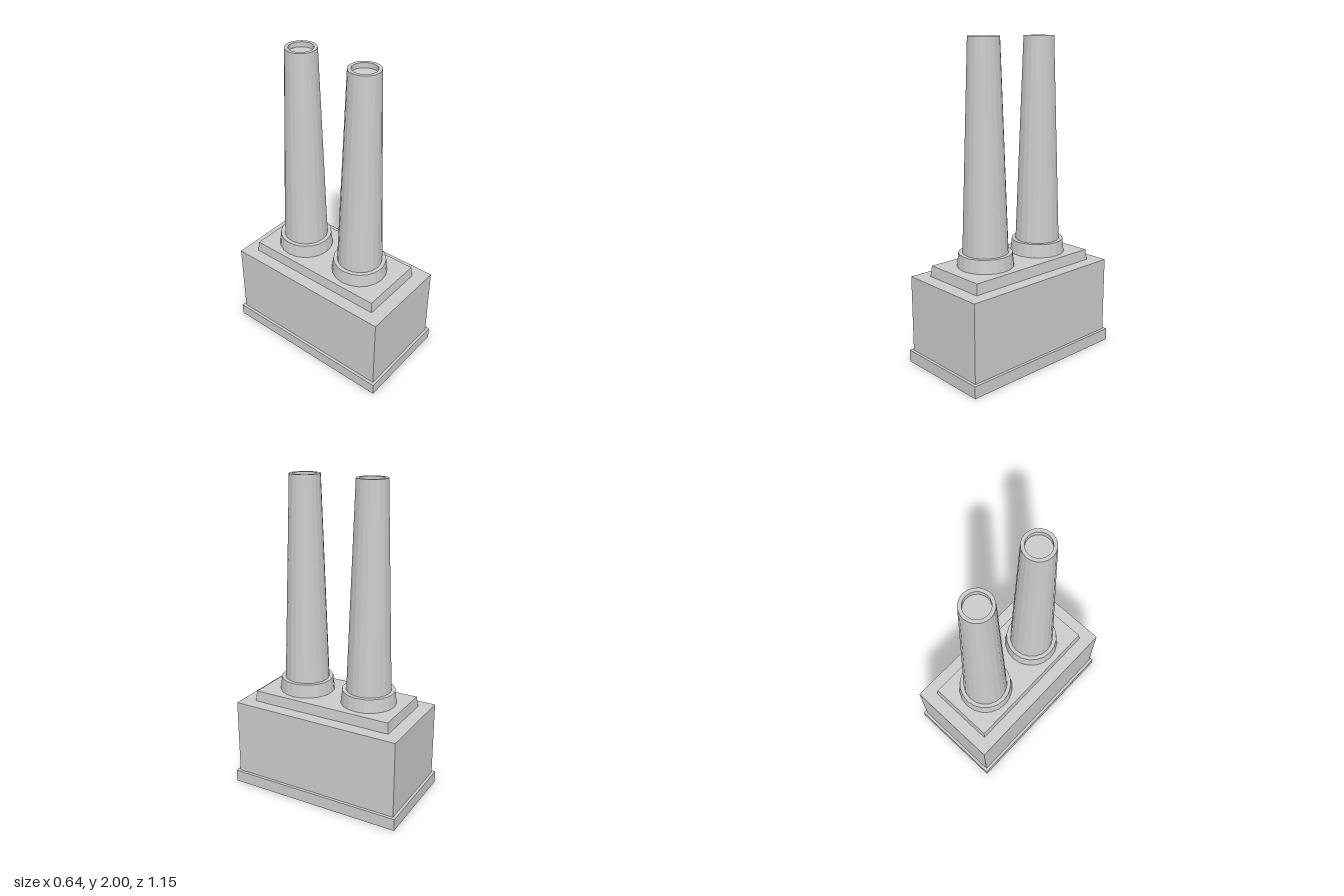
import * as THREE from 'three';

const material = new THREE.MeshStandardMaterial({
  color: 0xcccccc, flatShading: true, side: THREE.DoubleSide,
});

// Stacked rectangular sections [halfX, y, halfZ], joined by flat walls and optionally closed on top
function rectLoft(name, sections, closeTop) {
  const signs = [[1, 1], [1, -1], [-1, -1], [-1, 1]];
  const rings = sections.map(([hx, y, hz]) => signs.map(([sx, sz]) => [sx * hx, y, sz * hz]));
  const pos = [];
  const quad = (a, b, c, d) => pos.push(...a, ...b, ...c, ...a, ...c, ...d);
  for (let i = 0; i < rings.length - 1; i++) {
    for (let k = 0; k < 4; k++) {
      const n = (k + 1) % 4;
      quad(rings[i][k], rings[i][n], rings[i + 1][n], rings[i + 1][k]);
    }
  }
  if (closeTop) quad(...rings[rings.length - 1]);
  const geometry = new THREE.BufferGeometry();
  geometry.setAttribute('position', new THREE.Float32BufferAttribute(pos, 3));
  geometry.computeVertexNormals();
  const mesh = new THREE.Mesh(geometry, material);
  mesh.name = name;
  return mesh;
}

// Turned part from [radius, y] points
function turned(name, points) {
  const profile = points.map(([r, y]) => new THREE.Vector2(r, y));
  const mesh = new THREE.Mesh(new THREE.LatheGeometry(profile, 20), material);
  mesh.name = name;
  return mesh;
}

export function createModel() {
  const model = new THREE.Group();
  model.name = 'chimneyStack';

  // Hollow stack with a wider plinth, open underneath
  model.add(rectLoft('stackBody', [
    [0.318, 0, 0.576], [0.318, 0.077, 0.576],
    [0.299, 0.077, 0.558], [0.299, 0.567, 0.558],
  ], true));

  // Tapered mortar slab on top
  const slab = rectLoft('topSlab', [[0.218, 0.567, 0.472], [0.212, 0.635, 0.464]], true);
  slab.position.set(-0.002, 0, -0.002);
  model.add(slab);

  // Two tall pots, each with a collar and a shallow recess in the mouth
  for (const [name, z] of [['frontPot', 0.211], ['backPot', -0.232]]) {
    const pot = new THREE.Group();
    pot.name = name;
    pot.position.set(-0.004, 0, z);
    pot.add(turned('collar', [[0.175, 0.635], [0.166, 0.72], [0, 0.72]]));
    pot.add(turned('flue', [
      [0.141, 0.72], [0.094, 2], [0.073, 2], [0.073, 1.97], [0, 1.97],
    ]));
    model.add(pot);
  }
  return model;
}
